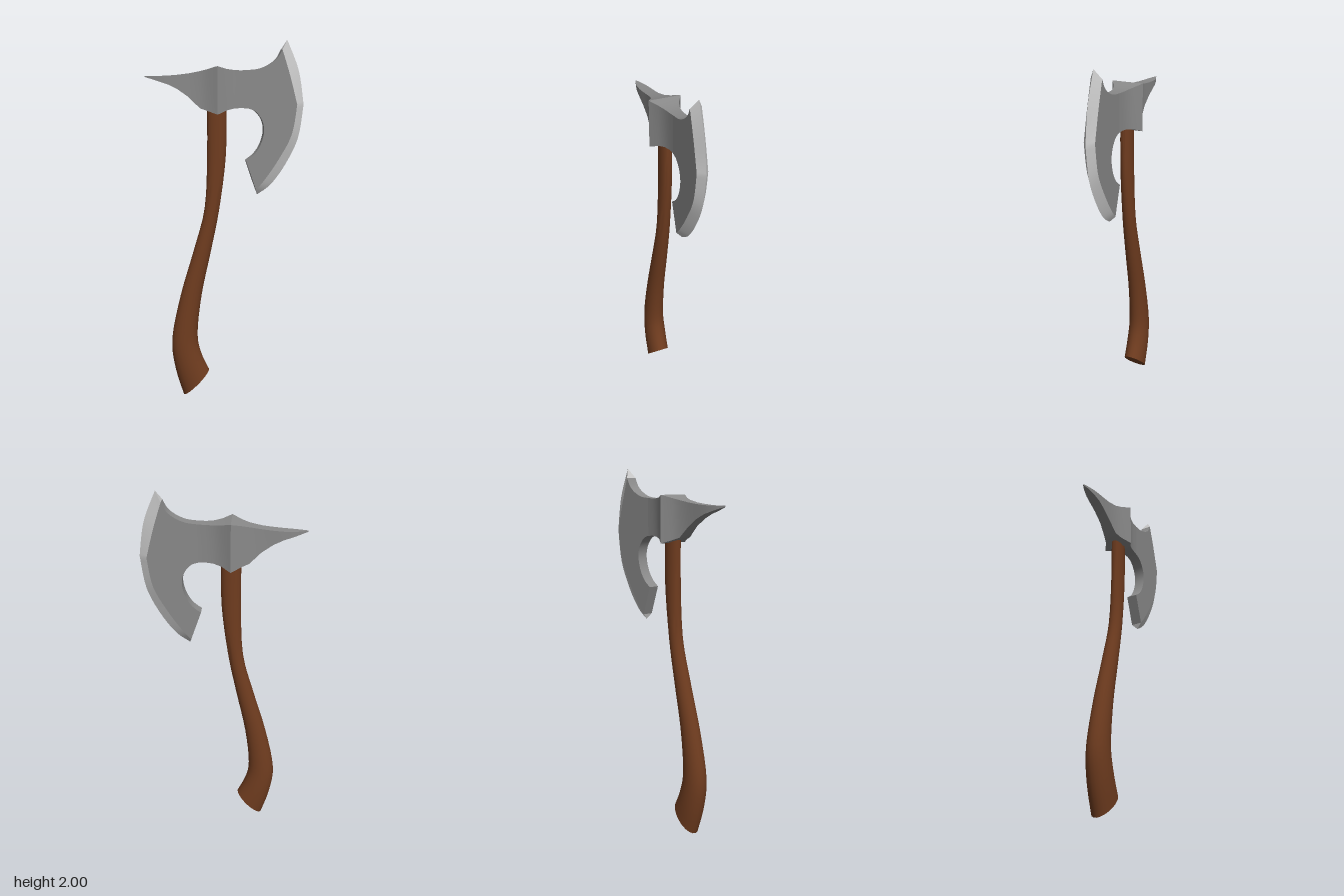
import * as THREE from 'three';
import { toCreasedNormals } from 'three/addons/utils/BufferGeometryUtils.js';

// Skin a list of closed rings (equal point counts) and cap both ends.
function loft(rings, crease) {
  const n = rings[0].length, last = (rings.length - 1) * n, index = [];
  for (let i = 0; i < rings.length - 1; i++) {
    for (let j = 0; j < n; j++) {
      const a = i * n + j, b = i * n + (j + 1) % n;
      index.push(a, b, b + n, a, b + n, a + n);
    }
  }
  for (let j = 1; j < n - 1; j++) {
    index.push(0, j + 1, j, last, last + j, last + j + 1);
  }
  const g = new THREE.BufferGeometry();
  g.setAttribute('position', new THREE.Float32BufferAttribute(rings.flat(2), 3));
  g.setIndex(index);
  return toCreasedNormals(g, crease);
}

// Smooth 2D curve through points, sampled evenly by point number.
function curve(points, divisions) {
  return new THREE.SplineCurve(points.map(([x, y]) => new THREE.Vector2(x, y))).getPoints(divisions);
}

export function createModel() {
  const model = new THREE.Group();
  const darkSteel = new THREE.MeshStandardMaterial({ color: 0x8a8a8a });
  const brightSteel = new THREE.MeshStandardMaterial({ color: 0xcccccc });
  const wood = new THREE.MeshStandardMaterial({ color: 0x6f3c1f });
  const add = (name, geometry, material, parent) => {
    const mesh = new THREE.Mesh(geometry, material);
    mesh.name = name;
    parent.add(mesh);
  };

  // Handle: oval rings spanning the left and right outlines, ending in a slanted butt.
  const left = curve([[-0.1, 1.7], [-0.1, 1.4], [-0.115, 1.1], [-0.177, 0.86], [-0.253, 0.6], [-0.305, 0.34], [-0.288, 0.16], [-0.243, 0]], 28);
  const right = curve([[0.005, 1.7], [0.003, 1.4], [-0.033, 1.1], [-0.08, 0.86], [-0.135, 0.6], [-0.16, 0.37], [-0.14, 0.25], [-0.095, 0.147]], 28);
  const depth = curve([[0, 0.032], [1, 0.033], [2, 0.036], [3, 0.042], [4, 0.049], [5, 0.057], [6, 0.062], [7, 0.062]], 28);
  const sides = 20;
  const handleRings = left.map((l, i) => {
    const r = right[i];
    return Array.from({ length: sides }, (_, k) => {
      const a = k / sides * Math.PI * 2, c = Math.cos(a) / 2;
      return [(l.x + r.x) / 2 + (r.x - l.x) * c, (l.y + r.y) / 2 + (r.y - l.y) * c, depth[i].y * Math.sin(a)];
    });
  });
  add('handle', loft(handleRings, 0.7), wood, model);

  const head = new THREE.Group();
  head.name = 'axeHead';
  model.add(head);

  // Spike and socket: stations of [x, top, bottom, half thickness].
  const stations = [
    [-0.43, 1.813, 1.807, 0.002], [-0.4, 1.812, 1.798, 0.014], [-0.36, 1.812, 1.785, 0.024],
    [-0.31, 1.814, 1.769, 0.029], [-0.26, 1.818, 1.745, 0.03], [-0.2, 1.825, 1.703, 0.031],
    [-0.14, 1.836, 1.644, 0.038], [-0.1, 1.846, 1.63, 0.053], [-0.048, 1.862, 1.612, 0.086],
    [0, 1.849, 1.632, 0.055], [0.04, 1.843, 1.641, 0.04], [0.08, 1.841, 1.644, 0.033], [0.12, 1.843, 1.641, 0.03],
  ];
  add('spikeAndSocket', loft(stations.map(([x, t, b, z]) => [[x, t, -z], [x, t, z], [x, b, z], [x, b, -z]]), 0.5), darkSteel, head);

  // Blade plate: flat bearded shape; the bevel starts straight above and curves below.
  const inner = [
    ...curve([[0.3, 1.95], [0.345, 1.81], [0.385, 1.66]], 15),
    ...curve([[0.385, 1.66], [0.358, 1.5], [0.285, 1.36], [0.207, 1.247], [0.165, 1.2]], 20).slice(1),
  ];
  const beard = curve([[0.12, 1.641], [0.16, 1.625], [0.195, 1.58], [0.207, 1.52], [0.19, 1.45], [0.155, 1.395], [0.11, 1.36]], 24);
  const top = curve([[0.3, 1.95], [0.275, 1.905], [0.235, 1.873], [0.18, 1.85], [0.12, 1.843]], 16);
  const outline = [...beard, ...inner.slice().reverse(), ...top.slice(1)];
  const plate = new THREE.ExtrudeGeometry(new THREE.Shape(outline), { depth: 0.06, bevelEnabled: false });
  plate.translate(0, 0, -0.03);
  add('bladePlate', toCreasedNormals(plate, 0.5), darkSteel, head);

  // Cutting edge: bright wedge from the plate down to a sharp line.
  const edge = [
    ...curve([[0.33, 2], [0.395, 1.84], [0.425, 1.66]], 15),
    ...curve([[0.425, 1.66], [0.398, 1.48], [0.33, 1.335], [0.25, 1.225], [0.175, 1.17]], 20).slice(1),
  ];
  const wedge = inner.map((p, i) => [[edge[i].x, edge[i].y, 0], [p.x, p.y, 0.03], [p.x, p.y, -0.03]]);
  add('cuttingEdge', loft(wedge, 0.5), brightSteel, head);

  return model;
}
